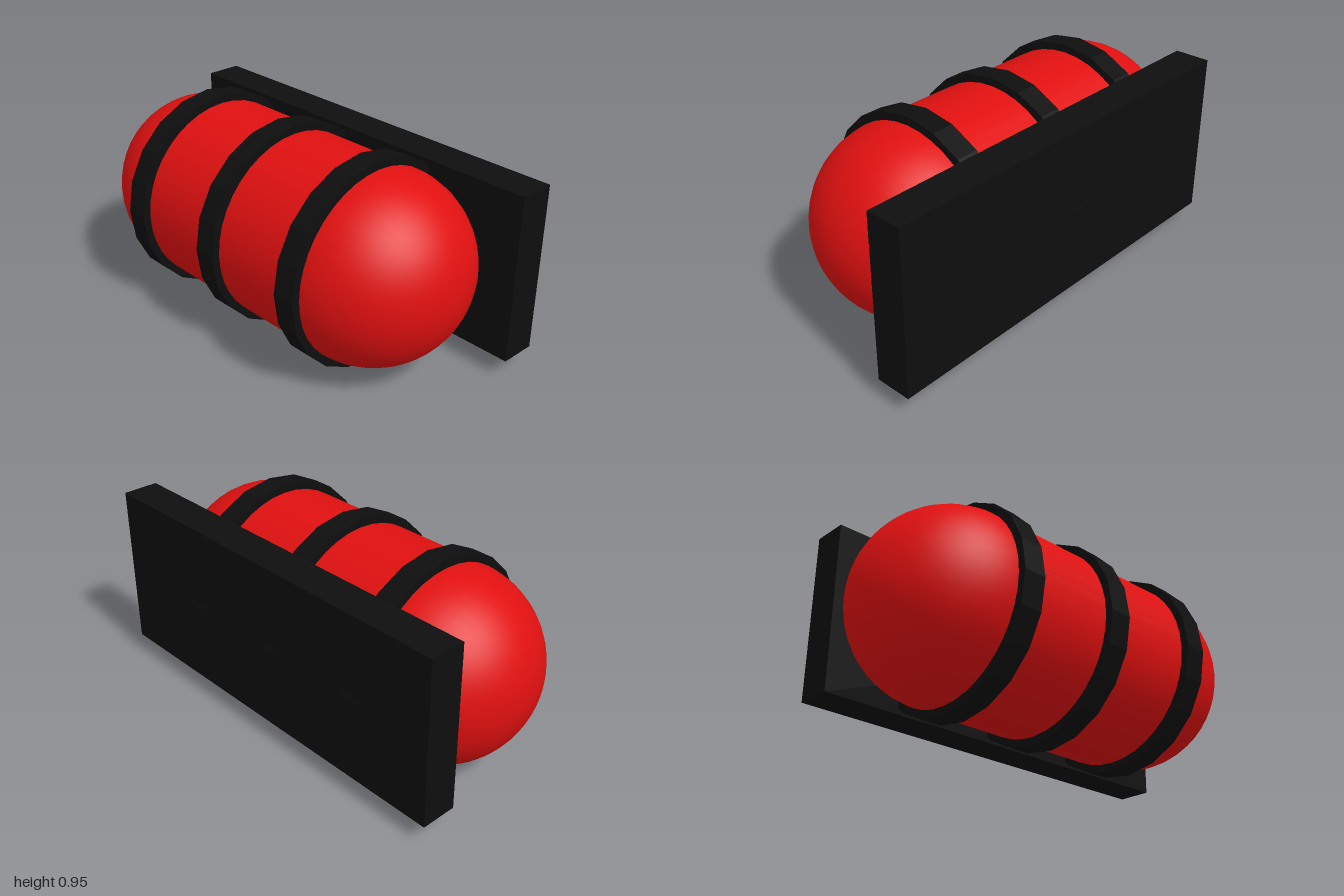
import * as THREE from 'three';

const red = new THREE.MeshStandardMaterial({ color: 0xe01010 });
const black = new THREE.MeshStandardMaterial({ color: 0x0e0e0e });
const blackFaceted = new THREE.MeshStandardMaterial({ color: 0x0e0e0e, flatShading: true });

const AXIS_Y = 0.474;

function add(group, name, geometry, material, x, y, z) {
  const mesh = new THREE.Mesh(geometry, material);
  mesh.name = name;
  mesh.position.set(x, y, z);
  group.add(mesh);
  return mesh;
}

// Square-section hoop, 20 sides, with its axis along x
function strapGeometry(inner, outer, width) {
  const h = width / 2;
  const profile = [[inner, -h], [outer, -h], [outer, h], [inner, h], [inner, -h]]
    .map(([r, y]) => new THREE.Vector2(r, y));
  return new THREE.LatheGeometry(profile, 20).rotateZ(Math.PI / 2);
}

export function createModel() {
  const model = new THREE.Group();
  model.name = 'mountedTank';

  // Horizontal tank with round ends
  const radius = 0.435, left = -1, right = 0.936;
  const tank = new THREE.CapsuleGeometry(radius, right - left - 2 * radius, 16, 40, 1);
  tank.rotateZ(Math.PI / 2);
  add(model, 'tank', tank, red, (left + right) / 2, AXIS_Y, 0);

  // Three straps around the tank
  const strap = strapGeometry(0.432, 0.473, 0.106);
  [-0.525, -0.032, 0.463].forEach((x, i) =>
    add(model, `strap${i + 1}`, strap, blackFaceted, x, AXIS_Y, 0));

  // Mounting board behind the tank
  add(model, 'backBoard', new THREE.BoxGeometry(1.936, 0.77, 0.167), black, 0.032, 0.475, -0.3865);

  return model;
}
